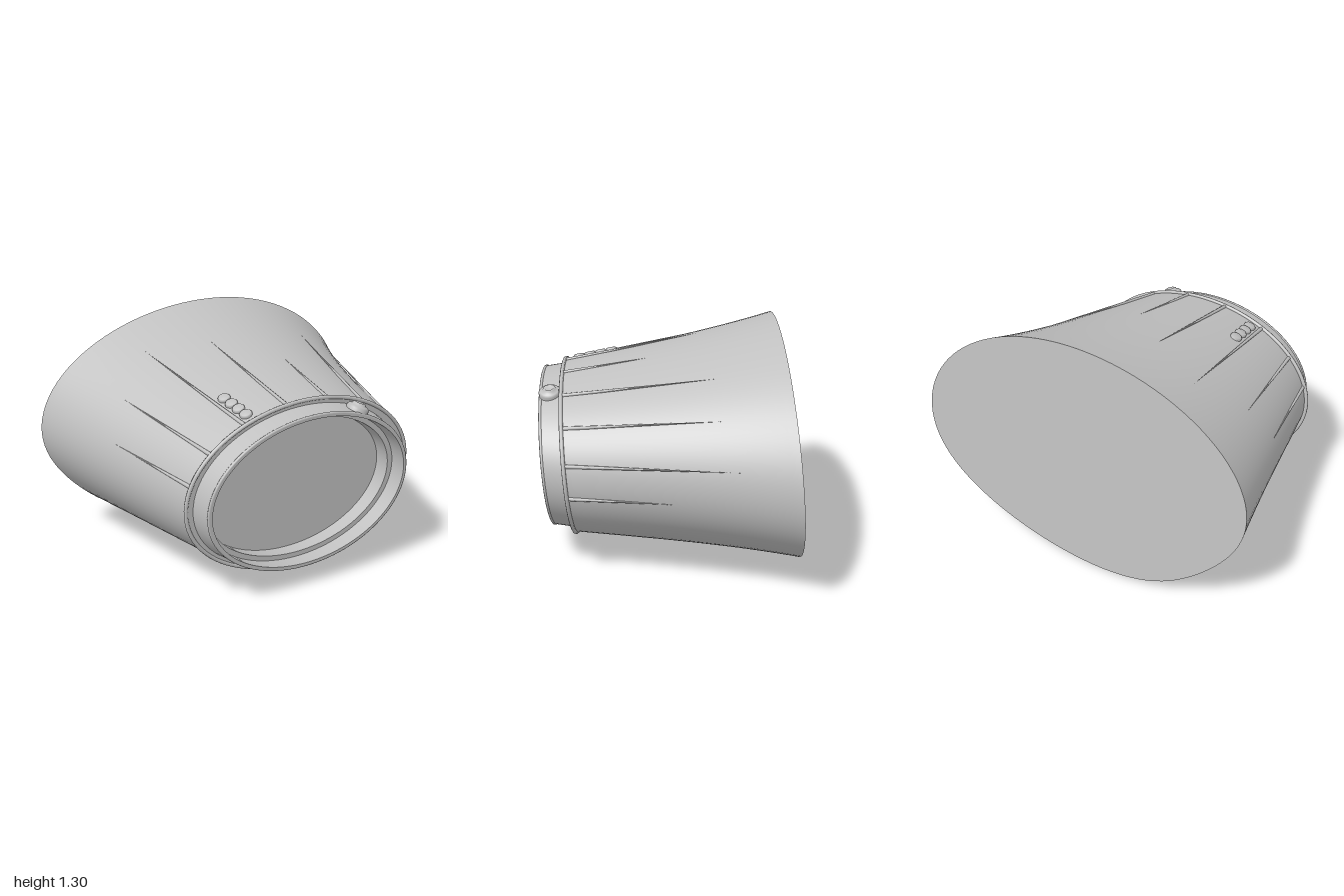
import * as THREE from 'three';

const SEG = 96;
const rad = THREE.MathUtils.degToRad;

// Point on a tilted elliptical section; skew makes the wide end slightly lopsided
function onSection(s, a) {
  const skew = s.skew || 0;
  const cos = Math.cos(a), sin = Math.sin(a);
  const k = 1 - 0.045 * skew * Math.max(0, Math.cos(a - rad(220))) ** 8;
  const dx = s.rx * k * cos - 0.1 * skew * Math.max(0, -sin) ** 3;
  const dy = s.ry * k * sin - skew * (0.025 * cos ** 3 + 0.018 * cos ** 2);
  return new THREE.Vector3(s.cx + dx, s.cy + dy, s.z + 0.0875 * dx + 0.08 * dy);
}

const sec = (cx, cy, z, rx, ry) => ({ cx, cy, z, rx, ry });

// Section of the body, t = 0 at the narrow end, 1 at the wide end, flaring towards 1
function bodySection(t) {
  const f = 0.82 * t + 0.18 * t ** 3, mix = THREE.MathUtils.lerp;
  return {
    cx: mix(-0.16, -0.002, f), cy: mix(0.56, 0.648, f), z: mix(0.545, -0.638, t),
    rx: mix(0.67, 1.002, f), ry: mix(0.465, 0.648, f), skew: t * t,
  };
}

// Skin over a row of sections
function loft(sections) {
  const pos = [], index = [];
  sections.forEach((s, i) => {
    for (let j = 0; j < SEG; j++) {
      pos.push(...onSection(s, (j / SEG) * Math.PI * 2).toArray());
      if (i === sections.length - 1) continue;
      const a = i * SEG + j, b = i * SEG + (j + 1) % SEG;
      index.push(a, a + SEG, b, b, a + SEG, b + SEG);
    }
  });
  const g = new THREE.BufferGeometry();
  g.setAttribute('position', new THREE.Float32BufferAttribute(pos, 3));
  g.setIndex(index);
  g.computeVertexNormals();
  return g;
}

// Round bead following a section
function bead(s, r) {
  const pts = [];
  for (let j = 0; j < 48; j++) pts.push(onSection(s, (j / 48) * Math.PI * 2));
  return new THREE.TubeGeometry(new THREE.CatmullRomCurve3(pts, true), SEG, r, 8, true);
}

// Outward direction of the body at an angle
function bodyNormal(a, t) {
  const s = bodySection(t);
  const around = onSection(s, a + 0.01).sub(onSection(s, a - 0.01));
  const along = onSection(bodySection(t + 0.01), a).sub(onSection(s, a));
  return along.cross(around).normalize();
}

export function createModel() {
  const model = new THREE.Group();
  const grey = new THREE.MeshStandardMaterial({ color: 0xc0c0c0 });
  grey.name = 'plain grey';
  const UP = new THREE.Vector3(0, 1, 0);
  const add = (name, geometry, parent = model) => {
    const m = new THREE.Mesh(geometry, grey);
    m.name = name;
    parent.add(m);
    return m;
  };

  // Flared body and flat back
  const rows = [];
  for (let i = 0; i <= 24; i++) rows.push(bodySection(i / 24));
  add('body', loft(rows));
  const back = bodySection(1);
  add('backPanel', loft([back, { ...back, rx: 0, ry: 0, skew: 0 }]));

  // Flange between the body and the collar
  const flange = sec(-0.16, 0.56, 0.543, 0.68, 0.468);
  add('flangeFace', loft([sec(-0.165, 0.56, 0.546, 0.6, 0.42), { ...flange, z: 0.546 }]));
  add('flangeBead', bead(flange, 0.011));

  // Collar, its rim and the recessed front, each with its own crisp edges
  const c = (z, rx, ry) => sec(-0.183, 0.555, z, rx, ry);
  add('collar', loft([c(0.664, 0.606, 0.428), sec(-0.168, 0.557, 0.54, 0.634, 0.445)]));
  add('rimBead', bead(c(0.658, 0.603, 0.425), 0.009));
  add('rimFace', loft([c(0.667, 0.588, 0.41), c(0.667, 0.603, 0.425)]));
  add('innerWall', loft([c(0.575, 0.588, 0.41), c(0.667, 0.588, 0.41)]));
  add('innerStep', loft([c(0.575, 0.557, 0.382), c(0.575, 0.588, 0.41)]));
  add('recessWall', loft([c(0.49, 0.557, 0.382), c(0.575, 0.557, 0.382)]));
  add('recessFloor', loft([c(0.49, 0, 0), c(0.49, 0.557, 0.382)]));

  // Tapering ridges fanned over the body: start angle, end angle, how far back each runs
  const ridges = new THREE.Group();
  ridges.name = 'ridges';
  model.add(ridges);
  [[165, 165, 0.52], [144, 144, 0.62], [122, 122, 0.785], [100, 100, 0.64], [79, 79, 0.39],
    [58, 56, 0.7], [36, 35, 0.71], [13, 12, 0.76], [-9, -8, 0.48]].forEach(([from, to, end]) => {
    const p = onSection(bodySection(0), rad(from)), q = onSection(bodySection(end), rad(to));
    const dir = q.clone().sub(p);
    const m = add('ridge', new THREE.ConeGeometry(0.011, dir.length(), 8), ridges);
    m.position.copy(p).add(q).multiplyScalar(0.5);
    m.quaternion.setFromUnitVectors(UP, dir.normalize());
  });

  // Row of four small studs
  const studs = new THREE.Group();
  studs.name = 'studs';
  model.add(studs);
  const studProfile = [[0.033, -0.012], [0.033, 0.008], [0.027, 0.015], [0, 0.016]]
    .map(([x, y]) => new THREE.Vector2(x, y));
  [0.06, 0.113, 0.165, 0.218].forEach((t) => {
    const a = rad(117.3);
    const m = add('stud', new THREE.LatheGeometry(studProfile, 20), studs);
    m.position.copy(onSection(bodySection(t), a));
    m.quaternion.setFromUnitVectors(UP, bodyNormal(a, t));
  });

  // Round button on the collar
  const a = rad(62);
  const buttonProfile = [[0.06, -0.02], [0.06, 0.014], [0.05, 0.024], [0.036, 0.026],
    [0.034, 0.036], [0.024, 0.04], [0.02, 0.034], [0, 0.034]]
    .map(([x, y]) => new THREE.Vector2(x, y));
  const button = add('collarButton', new THREE.LatheGeometry(buttonProfile, 28));
  button.position.copy(onSection(c(0.605, 0.624, 0.439), a));
  button.quaternion.setFromUnitVectors(
    UP, new THREE.Vector3(Math.cos(a) / 0.62, Math.sin(a) / 0.436, 0.25).normalize());

  return model;
}
